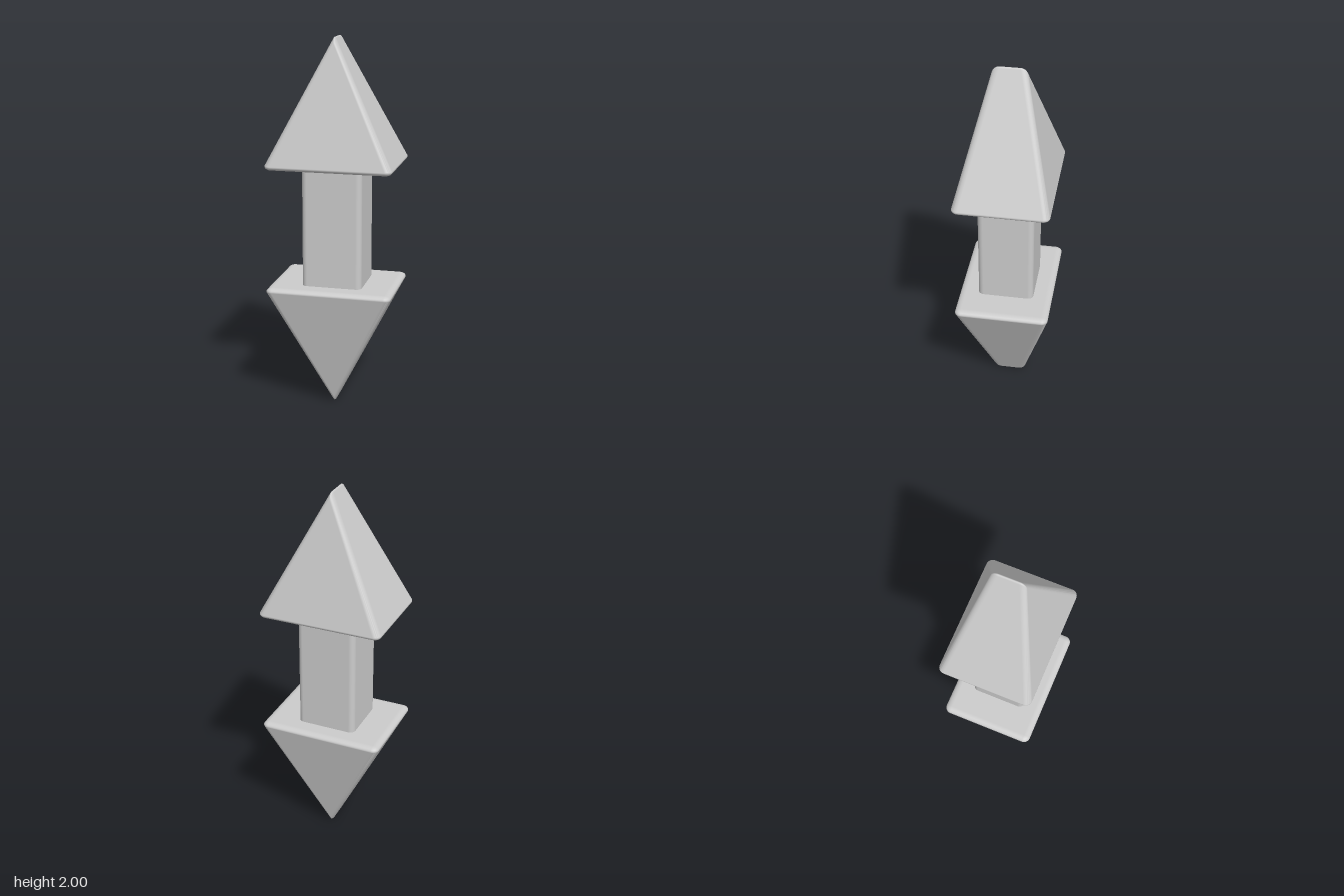
import * as THREE from 'three';
import { ConvexGeometry } from 'three/addons/geometries/ConvexGeometry.js';
import { RoundedBoxGeometry } from 'three/addons/geometries/RoundedBoxGeometry.js';

const STEPS = 8;

// A face plane of the arrowhead: outward normal and a point it passes through.
function plane(nx, ny, nz, px, py, pz) {
  const n = new THREE.Vector3(nx, ny, nz).normalize();
  return { n, d: n.dot(new THREE.Vector3(px, py, pz)) };
}

// Rounded corner where three planes meet: an ellipsoid patch tangent to all of them.
function roundedCorner(planes, radii) {
  const support = (n) => {
    const s = n.clone().multiply(radii);
    return s.clone().multiply(radii).divideScalar(s.length());
  };
  const [a, b, c] = planes.map((p) => p.n);
  const offsets = planes.map((p) => p.d - p.n.dot(support(p.n)));
  const centre = new THREE.Vector3(...offsets).applyMatrix3(
    new THREE.Matrix3(a.x, a.y, a.z, b.x, b.y, b.z, c.x, c.y, c.z).invert());
  const samples = [];
  for (let i = 0; i <= STEPS; i++) {
    for (let j = 0; j <= STEPS - i; j++) {
      const normal = new THREE.Vector3()
        .addScaledVector(a, i).addScaledVector(b, j).addScaledVector(c, STEPS - i - j).normalize();
      samples.push({ normal, point: support(normal).add(centre) });
    }
  }
  return samples;
}

// Wedge with a short ridge on top, wrapped around its rounded corners.
function headGeometry() {
  const base = plane(0, -1, 0, 0, 1.32, 0);
  const sides = [1, -1].map((s) => plane(s * 1.97, 1, 0, 0, 2.008, 0));
  const ends = [1, -1].map((s) => plane(0, 1, s * 3.9, 0, 1.355, s * 0.248));
  const baseRadii = new THREE.Vector3(0.035, 0.02, 0.035);
  const ridgeRadii = new THREE.Vector3(0.015, 0.05, 0.04);

  const samples = [];
  for (const end of ends) {
    samples.push(...roundedCorner([sides[0], sides[1], end], ridgeRadii));
    for (const side of sides) samples.push(...roundedCorner([base, side, end], baseRadii));
  }

  const geometry = new ConvexGeometry(samples.map((s) => s.point));
  // Smooth normals taken from the rounded corners
  const { position, normal } = geometry.attributes;
  const v = new THREE.Vector3();
  for (let i = 0; i < position.count; i++) {
    v.fromBufferAttribute(position, i);
    let best = samples[0];
    let bestDistance = Infinity;
    for (const s of samples) {
      const distance = s.point.distanceToSquared(v);
      if (distance < bestDistance) {
        bestDistance = distance;
        best = s;
      }
    }
    normal.setXYZ(i, best.normal.x, best.normal.y, best.normal.z);
  }
  return geometry;
}

export function createModel() {
  const group = new THREE.Group();
  group.name = 'doubleArrow';
  const material = new THREE.MeshStandardMaterial({ color: 0xcccccc });
  const add = (name, geometry) => {
    const mesh = new THREE.Mesh(geometry, material);
    mesh.name = name;
    group.add(mesh);
    return mesh;
  };

  // Shaft, with its ends tucked into the heads
  add('shaft', new RoundedBoxGeometry(0.324, 0.72, 0.3, 5, 0.03)).position.y = 1;

  // Two identical heads, the lower one turned over
  const head = headGeometry();
  add('upperHead', head);
  const lower = add('lowerHead', head);
  lower.rotation.x = Math.PI;
  lower.position.y = 2;

  return group;
}
